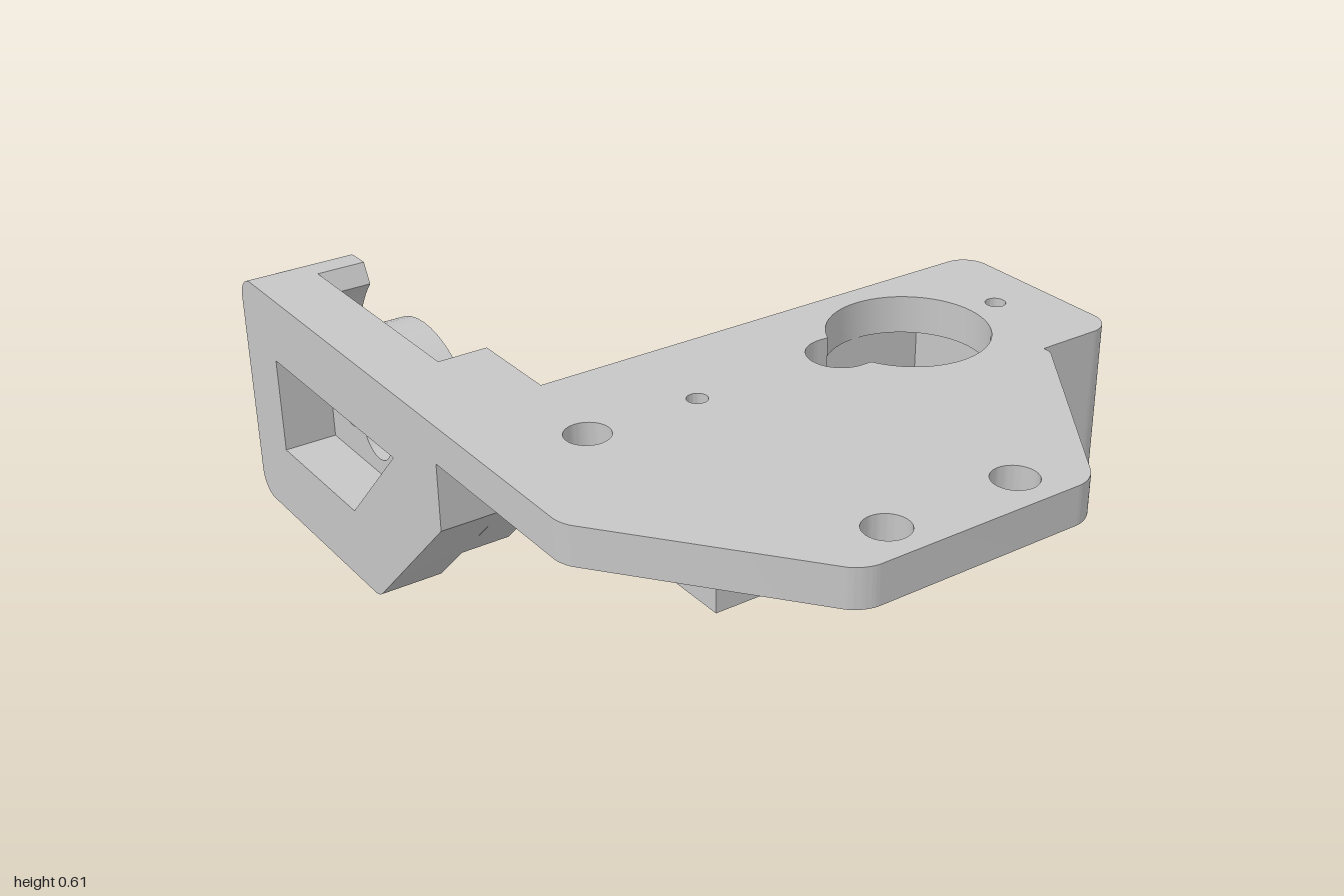
import * as THREE from 'three';
import { toCreasedNormals } from 'three/addons/utils/BufferGeometryUtils.js';

const LEFT = -0.777, MIN_Z = -0.03, TOP = 0.612, DECK = 0.517, AXIS_Z = 0.227;

// Closed outline from [a, b, cornerRadius] points; the first point is sharp.
// Outer outlines run clockwise, holes counter-clockwise.
function outline(points) {
  const shape = new THREE.Shape();
  const at = (i) => new THREE.Vector2(...points[(i + points.length) % points.length].slice(0, 2));
  points.forEach((point, i) => {
    const p = at(i), r = point[2] || 0;
    if (!r) {
      if (i === 0) shape.moveTo(p.x, p.y); else shape.lineTo(p.x, p.y);
      return;
    }
    const before = at(i - 1).sub(p).normalize(), after = at(i + 1).sub(p).normalize();
    const reach = r / Math.tan(Math.acos(before.dot(after)) / 2);
    const along = (dir, d) => p.clone().addScaledVector(dir, d);
    const start = along(before, reach), end = along(after, reach);
    const c1 = along(before, reach * 0.45), c2 = along(after, reach * 0.45);
    shape.lineTo(start.x, start.y);
    shape.bezierCurveTo(c1.x, c1.y, c2.x, c2.y, end.x, end.y);
  });
  return shape;
}

function circle(a, b, r, Kind = THREE.Path) {
  const path = new Kind();
  path.absarc(a, b, r, 0, Math.PI * 2, false);
  return path;
}

const extrude = (shape, depth) =>
  new THREE.ExtrudeGeometry(shape, { depth, bevelEnabled: false, curveSegments: 24 });

export function createModel() {
  const group = new THREE.Group();
  const grey = new THREE.MeshStandardMaterial({ color: 0xc6c6c6 });
  grey.name = 'grey';

  const add = (name, geometry) => {
    const mesh = new THREE.Mesh(toCreasedNormals(geometry, 0.5), grey);
    mesh.name = name;
    group.add(mesh);
  };
  // Shapes drawn in (x, -z), raised from y0 to y1
  const flat = (name, shape, y0, y1) =>
    add(name, extrude(shape, y1 - y0).rotateX(-Math.PI / 2).translate(0, y0, 0));
  // Shapes drawn in (-z, y), running from x0 to x1
  const upright = (name, shape, x0, x1) =>
    add(name, extrude(shape, x1 - x0).rotateY(Math.PI / 2).translate(x0, 0, 0));
  const plan = (points) => outline(points.map(([x, z, r]) => [x, -z, r]));
  const side = (points) => outline(points.map(([z, y, r]) => [-z, y, r]));

  const screwHoles = () => [-0.245, 0.635].map((x) => circle(x, -AXIS_Z, 0.025));

  // Top plate with mounting holes and a keyhole opening
  const plate = plan([
    [LEFT, MIN_Z], [0.775, MIN_Z, 0.065], [0.775, 0.485, 0.065], [0.55, 0.485],
    [0.55, 0.506, 0.03], [0.2, 1, 0.08], [-0.4, 1, 0.08], [LEFT, 0.515, 0.08],
  ]);
  const keyhole = new THREE.Path();
  const open = Math.PI - Math.asin(0.08 / 0.195);
  keyhole.absarc(0.36, -AXIS_Z, 0.195, -open, open, false);
  keyhole.absarc(0.155, -AXIS_Z, 0.08, Math.PI / 2, Math.PI * 1.5, false);
  keyhole.closePath();
  plate.holes.push(
    keyhole, ...screwHoles(),
    ...[[-0.53, AXIS_Z], [-0.265, 0.9], [0.075, 0.9]].map(([x, z]) => circle(x, -z, 0.053)),
  );
  flat('topPlate', plate, DECK, TOP);

  // Motor housing, with a rectangular pocket open underneath
  const housing = plan([
    [-0.38, MIN_Z], [0.775, MIN_Z, 0.065], [0.775, 0.485, 0.065], [-0.38, 0.485],
  ]);
  housing.holes.push(
    plan([[-0.18, 0.03], [-0.18, 0.424], [0.56, 0.424], [0.56, 0.03]]), ...screwHoles(),
  );
  flat('motorHousing', housing, 0.238, DECK);

  // Small web joining the housing and the arm
  flat('joiningWeb', plan([[-0.49, MIN_Z], [-0.38, MIN_Z], [-0.38, 0], [-0.49, 0]]), 0.348, DECK);

  // Side arm: outer wall with a window, then a thin web with shaft holes
  const armSide = () => side([
    [MIN_Z, TOP], [-1, TOP, 0.06], [-1, 0, 0.06], [-0.35, 0, 0.05],
    [0, 0.348], [0, DECK], [MIN_Z, DECK],
  ]);
  const hubZ = -0.58, hubY = 0.306;
  const shaftHoles = () => [[hubZ, 0.073], [-0.44, 0.04], [-0.717, 0.04]]
    .map(([z, r]) => circle(-z, hubY, r));
  const wall = armSide();
  wall.holes.push(side([[-0.83, 0.19], [-0.83, 0.44], [-0.21, 0.44], [-0.45, 0.19]]));
  upright('armOuterWall', wall, LEFT, -0.64);
  const web = armSide();
  web.holes.push(...shaftHoles());
  upright('armWeb', web, -0.64, -0.617);

  // Curved cheeks either side of the round hub
  const arc = (from, to) => Array.from({ length: 25 }, (_, i) => {
    const t = THREE.MathUtils.degToRad(from + (to - from) * i / 24);
    return [hubZ + 0.382 * Math.cos(t), hubY + 0.382 * Math.sin(t)];
  });
  upright('frontCheek', side([
    [MIN_Z, TOP], [-0.27, TOP], ...arc(42, -27), [-0.22, 0.129],
    [0, 0.348], [0, DECK], [MIN_Z, DECK],
  ]), -0.617, -0.49);
  upright('rearCheek', side([
    [-0.89, TOP], [-1, TOP, 0.06], [-1, 0, 0.06], [-0.89, 0], ...arc(222, 138),
  ]), -0.617, -0.49);

  // Round hub
  const hub = circle(-hubZ, hubY, 0.255, THREE.Shape);
  hub.holes.push(...shaftHoles().map((hole) => new THREE.Path(hole.getPoints(24))));
  upright('hub', hub, -0.617, -0.49);

  return group;
}
